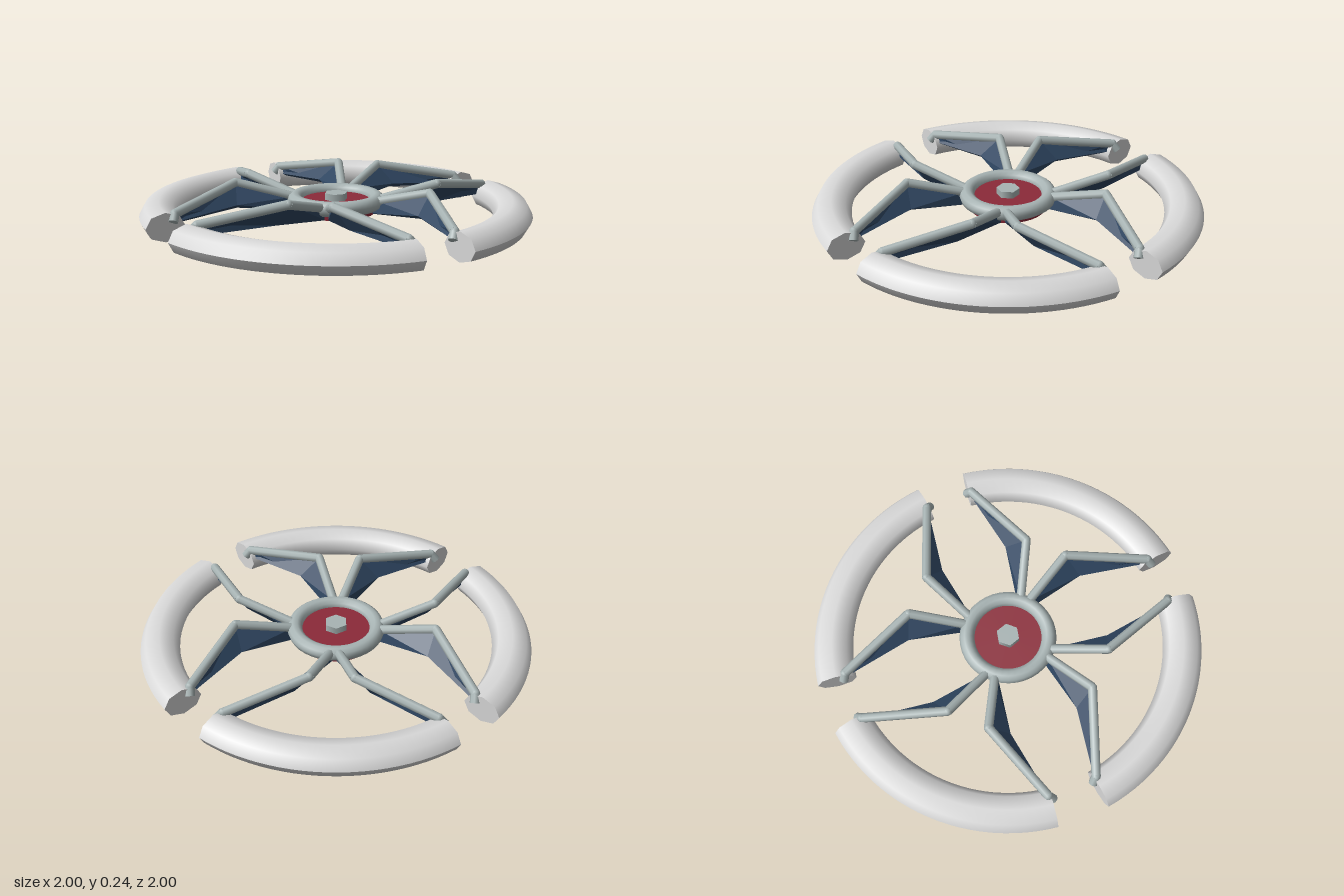
import * as THREE from 'three';

const material = (name, color) => {
  const m = new THREE.MeshStandardMaterial({ color });
  m.name = name;
  return m;
};

// Point from radius, height and angle in degrees (towards +z)
const polar = (r, y, deg) => {
  const a = THREE.MathUtils.degToRad(deg);
  return new THREE.Vector3(r * Math.cos(a), y, r * Math.sin(a));
};

export function createModel() {
  const pale = material('pale grey', 0xd8d8d8);
  const steel = material('steel grey', 0xa8b4b4);
  const navy = material('navy', 0x2e4560);
  navy.side = THREE.DoubleSide;
  const red = material('dark red', 0x8c2a39);

  const root = new THREE.Group();
  root.name = 'spokedWheel';
  const add = (parent, name, geometry, mat) => {
    const mesh = new THREE.Mesh(geometry, mat);
    mesh.name = name;
    parent.add(mesh);
    return mesh;
  };

  // Rim arc: eight-sided, flattened section swept about the axle
  const RIM_R = 0.9, RIM_W = 0.1, RIM_H = 0.074, HALF = THREE.MathUtils.degToRad(37.3);
  const section = [];
  for (let i = 0; i <= 8; i++) {
    const a = (i / 8) * Math.PI * 2;
    section.push(new THREE.Vector2(RIM_R + RIM_W * Math.cos(a), RIM_H + RIM_H * Math.sin(a)));
  }
  const rimGeometry = new THREE.LatheGeometry(section, 24, Math.PI / 2 - HALF, HALF * 2);
  const capGeometry = new THREE.CircleGeometry(RIM_W, 8).scale(1, RIM_H / RIM_W, 1);

  // Round bar between two points
  const bar = (parent, a, b, radius) => {
    const dir = b.clone().sub(a);
    const mesh = add(parent, 'spokeBar', new THREE.CylinderGeometry(radius, radius, dir.length(), 8), steel);
    mesh.position.copy(a).add(b).multiplyScalar(0.5);
    mesh.quaternion.setFromUnitVectors(new THREE.Vector3(0, 1, 0), dir.normalize());
  };

  // Fin: triangular sections at the hub, elbow and rim, joined with flat faces
  const finGeometry = (sections) => {
    const pos = [];
    const tri = (...pts) => pts.forEach((p) => pos.push(p.x, p.y, p.z));
    for (let i = 0; i < sections.length - 1; i++) {
      for (let j = 0; j < 3; j++) {
        const k = (j + 1) % 3;
        const [a, b, c, d] = [sections[i][j], sections[i][k], sections[i + 1][k], sections[i + 1][j]];
        tri(a, b, c);
        tri(a, c, d);
      }
    }
    tri(...sections[0]);
    tri(...sections[sections.length - 1]);
    const g = new THREE.BufferGeometry();
    g.setAttribute('position', new THREE.Float32BufferAttribute(pos, 3));
    g.computeVertexNormals();
    return g;
  };

  const addSpoke = (parent, s) => {
    const spoke = new THREE.Group();
    spoke.name = s > 0 ? 'spokeA' : 'spokeB';
    parent.add(spoke);
    const R = 0.024;
    const path = [
      polar(0.22, 0.135, s * 5.5),
      polar(0.515, 0.214, s * 12.3),
      polar(0.85, 0.135, s * 36.4),
      polar(0.865, 0.1, s * 38),
    ];
    for (let i = 0; i < 3; i++) bar(spoke, path[i], path[i + 1], R);
    for (let i = 1; i < 3; i++) {
      add(spoke, 'spokeJoint', new THREE.SphereGeometry(R, 8, 6), steel).position.copy(path[i]);
    }
    add(spoke, 'fin', finGeometry([
      [path[0], polar(0.19, 0.07, s * 6), polar(0.19, 0.065, s * 2)],
      [path[1], polar(0.51, 0.12, s * 24.5), polar(0.51, 0.1, s * 21)],
      [path[2], polar(0.84, 0.095, s * 36.6), polar(0.84, 0.085, s * 35.5)],
    ]), navy);
  };

  // Four equal quarters, each a rim arc with a mirrored pair of spokes
  for (let q = 0; q < 4; q++) {
    const quarter = new THREE.Group();
    quarter.name = 'quarter' + (q + 1);
    quarter.rotation.y = -THREE.MathUtils.degToRad(33 + q * 90);
    root.add(quarter);
    add(quarter, 'rimArc', rimGeometry, pale);
    for (const s of [-1, 1]) {
      const pivot = new THREE.Group();
      pivot.name = 'rimEnd';
      pivot.rotation.y = -s * HALF;
      quarter.add(pivot);
      const cap = add(pivot, 'rimCap', capGeometry, pale);
      cap.position.set(RIM_R, RIM_H, 0);
      cap.rotation.y = s > 0 ? 0 : Math.PI;
      addSpoke(quarter, s);
    }
  }

  // Hub: red drum, steel collar and hexagonal nut
  const hub = new THREE.Group();
  hub.name = 'hub';
  root.add(hub);
  add(hub, 'hubDrum', new THREE.CylinderGeometry(0.2, 0.2, 0.065, 32), red).position.y = 0.0975;
  const collar = add(hub, 'hubCollar', new THREE.TorusGeometry(0.21, 0.039, 10, 40), steel);
  collar.rotation.x = Math.PI / 2;
  collar.position.y = 0.127;
  const nut = add(hub, 'hubNut', new THREE.CylinderGeometry(0.06, 0.06, 0.05, 6), steel);
  nut.rotation.y = Math.PI / 2;
  nut.position.y = 0.14;

  return root;
}
